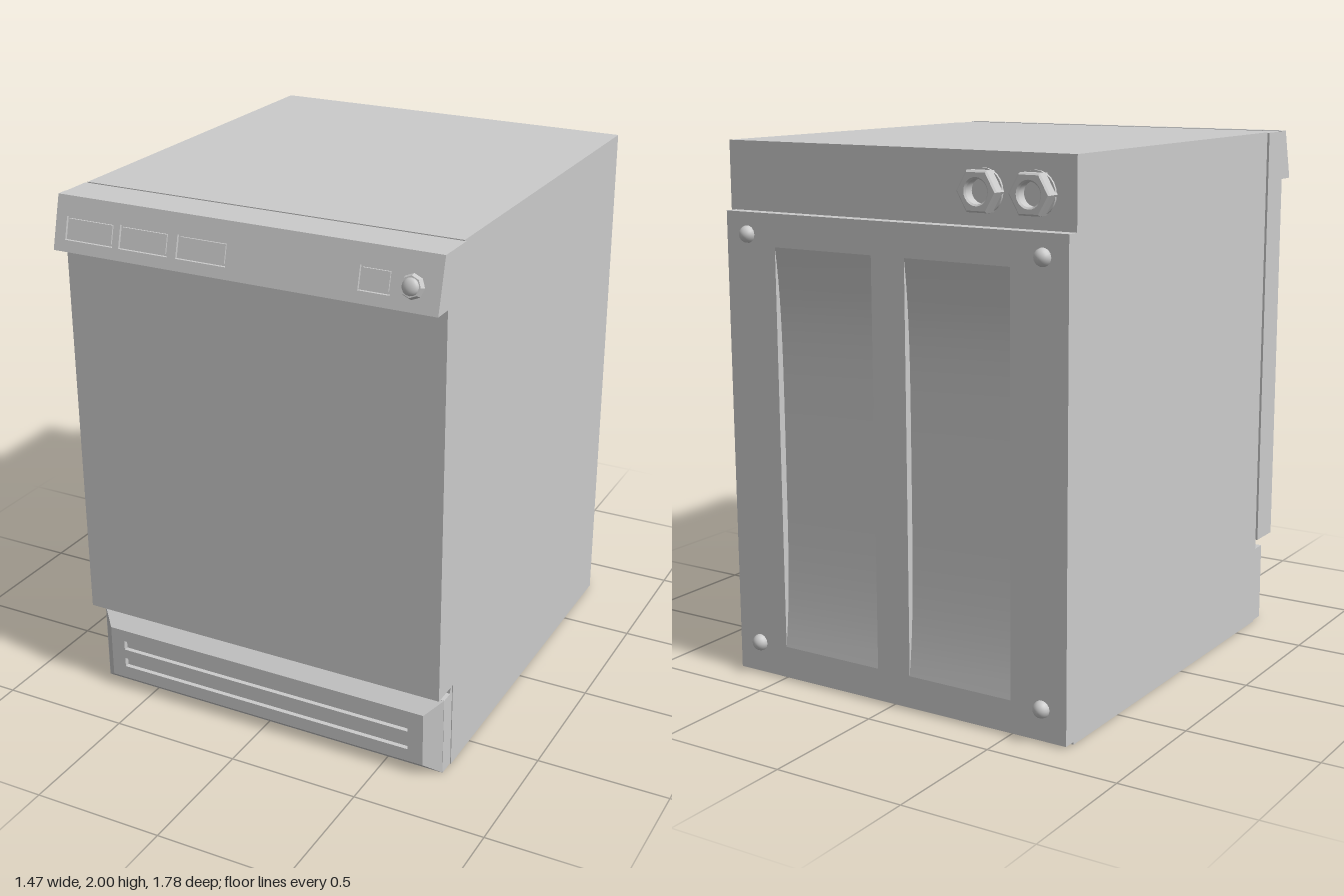
import * as THREE from 'three';
import { toCreasedNormals } from 'three/addons/utils/BufferGeometryUtils.js';

const material = new THREE.MeshStandardMaterial({ color: 0xcccccc });

export function createModel() {
  const model = new THREE.Group();

  const add = (name, geometry) => {
    const mesh = new THREE.Mesh(geometry, material);
    mesh.name = name;
    model.add(mesh);
    return mesh;
  };

  // Box given by its limits on each axis
  const boxGeo = (x0, x1, y0, y1, z0, z1) =>
    new THREE.BoxGeometry(x1 - x0, y1 - y0, z1 - z0)
      .translate((x0 + x1) / 2, (y0 + y1) / 2, (z0 + z1) / 2);

  // Flat plate with rectangular openings [x0, x1, y0, y1]
  const rect = (P, [x0, x1, y0, y1]) => {
    const p = new P();
    p.moveTo(x0, y0).lineTo(x1, y0).lineTo(x1, y1).lineTo(x0, y1).closePath();
    return p;
  };
  const plateGeo = (outline, openings, z0, z1) => {
    const shape = rect(THREE.Shape, outline);
    openings.forEach((o) => shape.holes.push(rect(THREE.Path, o)));
    return new THREE.ExtrudeGeometry(shape, { depth: z1 - z0, bevelEnabled: false }).translate(0, 0, z0);
  };

  // Move every vertex by a rule, then refresh the flat normals
  const reshape = (geometry, rule) => {
    const g = geometry.index ? geometry.toNonIndexed() : geometry;
    const p = g.attributes.position;
    const v = new THREE.Vector3();
    for (let i = 0; i < p.count; i++) {
      rule(v.fromBufferAttribute(p, i));
      p.setXYZ(i, v.x, v.y, v.z);
    }
    g.computeVertexNormals();
    return g;
  };

  // Cabinet and door
  add('cabinet', boxGeo(-0.728, 0.725, 0, 2, -0.81, 0.664));
  add('cabinetFront', boxGeo(-0.722, 0.722, 0.005, 0.36, 0.66, 0.68));
  add('door', boxGeo(-0.735, 0.732, 0.35, 1.998, 0.668, 0.8));

  // Slanted control panel with recessed windows
  const slope = 0.263;
  const slant = (v) => { if (v.z > 0.805) v.z += (2 - v.y) * slope; };
  add('controlPanelBacking', reshape(boxGeo(-0.734, 0.734, 1.81, 2, 0.79, 0.818), slant));
  const windows = [[-0.69, -0.495], [-0.47, -0.275], [-0.24, -0.045], [0.445, 0.56]]
    .map(([a, b]) => [a, b, 1.85, 1.93]);
  add('controlPanelFace', reshape(plateGeo([-0.734, 0.734, 1.81, 2], windows, 0.817, 0.828), slant));
  windows.forEach(([x0, x1, y0, y1]) => add('windowInsert',
    reshape(boxGeo(x0 + 0.008, x1 - 0.008, y0 + 0.008, y1 - 0.008, 0.812, 0.824), slant)));

  // Control knob
  const knob = new THREE.Group();
  knob.name = 'knob';
  const knobBase = new THREE.Mesh(
    toCreasedNormals(new THREE.CylinderGeometry(0.036, 0.043, 0.018, 8), 0.3), material);
  knobBase.name = 'knobBase';
  knobBase.position.y = 0.009;
  const knobCap = new THREE.Mesh(
    new THREE.SphereGeometry(0.03, 16, 6, 0, Math.PI * 2, 0, Math.PI / 2), material);
  knobCap.name = 'knobCap';
  knobCap.scale.y = 0.55;
  knobCap.position.y = 0.017;
  knob.add(knobBase, knobCap);
  knob.rotation.x = Math.PI / 2 - Math.atan(slope);
  knob.position.set(0.635, 1.89, 0.857);
  model.add(knob);

  // Kick plate: bevelled front with two vent slots
  add('kickPlateBase', boxGeo(-0.725, 0.722, 0.003, 0.31, 0.66, 0.731));
  const slots = [[-0.61, 0.605, 0.1, 0.137], [-0.61, 0.605, 0.175, 0.213]];
  add('kickPlate', reshape(plateGeo([-0.725, 0.722, 0.003, 0.31], slots, 0.73, 0.783), (v) => {
    if (v.z > 0.75 && Math.abs(v.x) > 0.7) {
      v.x -= Math.sign(v.x) * 0.057;
      v.y += v.y < 0.1 ? 0.047 : -0.05;
    }
  }));
  add('ventSlotFloor', boxGeo(-0.62, 0.615, 0.09, 0.225, 0.725, 0.765));

  // Rear cover with two shallow dished recesses
  const recesses = [[-0.505, -0.08, 0.13, 1.63], [0.06, 0.485, 0.13, 1.63]];
  add('rearCover', plateGeo([-0.728, 0.705, 0.01, 1.75], recesses, -0.86, -0.808));
  recesses.forEach(([x0, x1, y0, y1]) => {
    const profile = new THREE.Shape();
    profile.moveTo(-0.812, y0).lineTo(-0.812, y1);
    for (let i = 0; i <= 24; i++) {
      const t = 1 - i / 12;
      profile.lineTo(-0.86 + 0.028 * (1 - t ** 4), (y0 + y1) / 2 + t * (y1 - y0) / 2);
    }
    const floor = new THREE.ExtrudeGeometry(profile, { depth: x1 - x0, bevelEnabled: false })
      .rotateY(-Math.PI / 2).translate(x1, 0, 0);
    add('rearRecess', toCreasedNormals(floor, 0.4));
  });

  // Round-headed screws in the cover corners
  for (const x of [-0.63, 0.61]) for (const y of [0.125, 1.67]) {
    const screw = add('screw', new THREE.SphereGeometry(0.032, 14, 7, 0, Math.PI * 2, 0, Math.PI / 2));
    screw.rotation.x = -Math.PI / 2;
    screw.position.set(x, y, -0.859);
  }

  // Hose connectors: hexagonal nuts with a round bore
  for (const x of [-0.575, -0.372]) {
    const hex = new THREE.Shape();
    for (let i = 0; i < 6; i++) {
      const a = (i * Math.PI) / 3;
      hex[i ? 'lineTo' : 'moveTo'](0.073 * Math.cos(a), 0.073 * Math.sin(a));
    }
    hex.closePath();
    hex.holes.push(new THREE.Path().absarc(0, 0, 0.048, 0, Math.PI * 2, true));
    const nut = add('hoseConnector', toCreasedNormals(new THREE.ExtrudeGeometry(hex, {
      depth: 0.044, bevelThickness: 0.006, bevelSize: 0.006, bevelSegments: 1, curveSegments: 12,
    }), 0.6));
    nut.position.set(x, 1.868, -0.854);
    const washer = add('connectorWasher', new THREE.CylinderGeometry(0.077, 0.077, 0.012, 24));
    washer.rotation.x = Math.PI / 2;
    washer.position.set(x, 1.868, -0.813);
  }

  return model;
}
